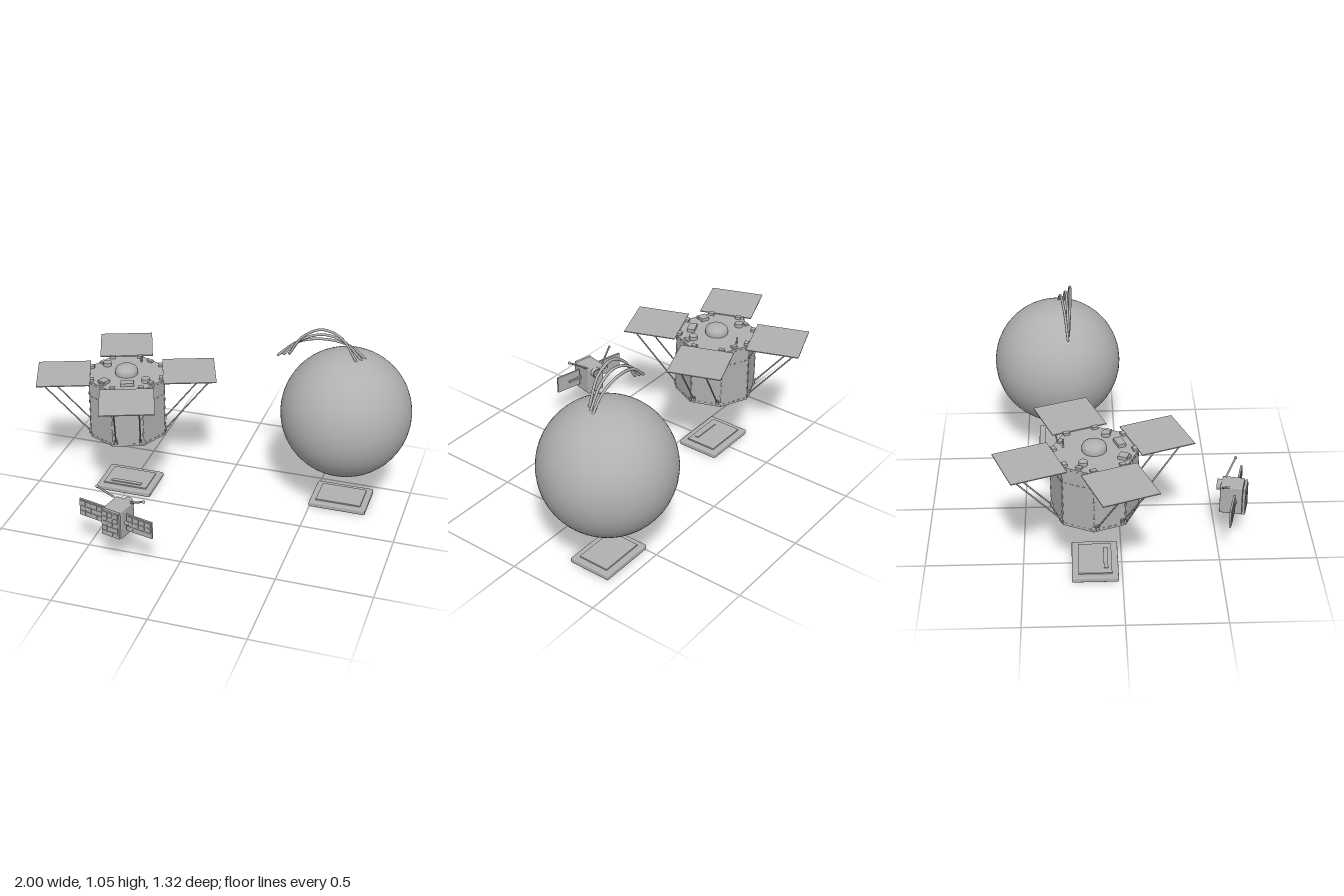
import * as THREE from 'three';
import { RoundedBoxGeometry } from 'three/addons/geometries/RoundedBoxGeometry.js';

const grey = new THREE.MeshStandardMaterial({ color: 0xb0b0b0 });
grey.name = 'plain grey';

function add(parent, name, geometry, x = 0, y = 0, z = 0) {
  const m = new THREE.Mesh(geometry, grey);
  m.name = name;
  m.position.set(x, y, z);
  parent.add(m);
  return m;
}
function group(parent, name, x, y, z, turn = 0) {
  const g = new THREE.Group();
  g.name = name;
  g.position.set(x, y, z);
  g.rotation.y = turn;
  parent.add(g);
  return g;
}
const box = (w, h, d) => new THREE.BoxGeometry(w, h, d);
function faceted(geometry) {
  const g = geometry.toNonIndexed();
  g.computeVertexNormals();
  return g;
}
// Straight round bar between two points
function rod(parent, name, a, b, r) {
  const p = new THREE.Vector3(...a), q = new THREE.Vector3(...b);
  const m = add(parent, name, new THREE.CylinderGeometry(r, r, p.distanceTo(q), 8));
  m.position.copy(p).add(q).multiplyScalar(0.5);
  m.quaternion.setFromUnitVectors(new THREE.Vector3(0, 1, 0), q.sub(p).normalize());
}

// Ball with three curved whiskers
function buildBall(root) {
  const g = group(root, 'ball', 0, 0, 0);
  add(g, 'sphere', new THREE.SphereGeometry(0.345, 64, 40), 0.65, 0.552, -0.317);
  const arcs = [
    [[0.35, 0.88, -0.25], [0.42, 0.99, -0.242], [0.52, 1.045, -0.24], [0.62, 1.01, -0.243], [0.7, 0.885, -0.255]],
    [[0.32, 0.872, -0.252], [0.4, 0.96, -0.255], [0.52, 1.008, -0.26], [0.63, 0.98, -0.268], [0.725, 0.88, -0.28]],
    [[0.29, 0.862, -0.255], [0.39, 0.945, -0.268], [0.52, 0.973, -0.282], [0.65, 0.95, -0.295], [0.75, 0.87, -0.307]],
  ];
  for (const pts of arcs) {
    const curve = new THREE.CatmullRomCurve3(pts.map(p => new THREE.Vector3(...p)));
    add(g, 'whisker', new THREE.TubeGeometry(curve, 32, 0.007, 8));
    for (const p of [pts[0], pts[4]]) add(g, 'whiskerTip', new THREE.SphereGeometry(0.007, 8, 6), ...p);
  }
}

// Eight-sided spacecraft with four fold-out panels
function buildLargeSatellite(root) {
  const g = group(root, 'largeSatellite', -0.51, 0, -0.135, 0.358);
  add(g, 'body', faceted(new THREE.CylinderGeometry(0.216, 0.216, 0.335, 8, 1, false, Math.PI / 8)), 0, 0.52, 0);
  for (let i = 0; i < 4; i++) {
    const arm = group(g, 'panelArm', 0, 0, 0, i * Math.PI / 2);
    add(arm, 'panel', box(0.28, 0.005, 0.285), 0.333, 0.692, 0);
    for (const s of [-1, 1]) {
      rod(arm, 'strut', [0.2, 0.375, s * 0.065], [0.465, 0.69, s * 0.065], 0.004);
      add(arm, 'strutFoot', box(0.012, 0.025, 0.018), 0.203, 0.38, s * 0.065);
      add(arm, 'hinge', box(0.022, 0.014, 0.03), 0.182, 0.694, s * 0.075);
    }
  }
  for (let i = 0; i < 8; i++) {
    const side = group(g, 'bodySide', 0, 0, 0, i * Math.PI / 4);
    // Seam fasteners along each face and each corner
    for (const y of [0.365, 0.6, 0.675])
      for (let k = -2; k <= 2; k++) add(side, 'fastener', box(0.004, 0.005, 0.014), 0.2, y, k * 0.032);
    const corner = group(side, 'cornerSeam', 0, 0, 0, Math.PI / 8);
    for (let k = 0; k < 7; k++) add(corner, 'cornerClip', box(0.005, 0.016, 0.01), 0.215, 0.375 + k * 0.048, 0);
    if (i % 2) add(side, 'deckBracket', box(0.02, 0.012, 0.03), 0.18, 0.693, 0);
  }
  // Deck fittings
  const dome = [[0.06, 0], [0.062, 0.018], [0.055, 0.034], [0.04, 0.044], [0.02, 0.049], [0, 0.05]];
  add(g, 'dome', new THREE.LatheGeometry(dome.map(p => new THREE.Vector2(...p)), 32), 0, 0.687, 0);
  const deck = group(root, 'deckFittings', -0.51, 0.687, -0.135);
  for (const [x, z] of [[-0.13, -0.055], [0.13, 0.06]])
    add(deck, 'drum', new THREE.CylinderGeometry(0.022, 0.022, 0.025, 20), x, 0.008, z);
  const crate = (x, z, w, d, turn) => { add(deck, 'deckBox', box(w, 0.022, d), x, 0.007, z).rotation.y = turn; };
  crate(0.05, 0.125, 0.07, 0.04, 0.36);
  crate(-0.075, 0.14, 0.045, 0.045, -0.4);
  rod(deck, 'stubAntenna', [0.03, 0, -0.15], [0.03, 0.035, -0.15], 0.005);
}

// Grid of raised cells in a rectangle facing +z
function cells(parent, x, y, z, w, h, cols, rows) {
  const cw = w / cols, ch = h / rows;
  for (let i = 0; i < cols; i++)
    for (let j = 0; j < rows; j++)
      add(parent, 'solarCell', box(cw - 0.006, ch - 0.006, 0.004),
        x + (i + 0.5) * cw - w / 2, y + (j + 0.5) * ch - h / 2, z);
}

// Small box-shaped craft with two wings
function buildSmallSatellite(root) {
  const g = group(root, 'smallSatellite', -0.295, 0.258, 0.575, -0.236);
  add(g, 'body', new RoundedBoxGeometry(0.105, 0.16, 0.115, 2, 0.006));
  add(g, 'frontPanel', box(0.105, 0.148, 0.014), -0.004, 0, 0.067);
  cells(g, -0.004, 0, 0.075, 0.095, 0.138, 3, 5);
  for (const s of [-1, 1]) {
    const x = s * 0.143 - 0.008;
    add(g, 'wing', box(0.15, 0.095, 0.01), x, 0.004, 0.02);
    cells(g, x, 0.004, 0.026, 0.142, 0.087, 4, 3);
    add(g, 'wingSpar', box(0.09, 0.012, 0.008), s * 0.09, 0, 0.012);
    rod(g, 'wingHinge', [s * 0.045, 0, 0.02], [s * 0.075, 0, 0.02], 0.012);
  }
  // Rear nozzle with an open mouth
  const nozzle = [[0, -0.01], [0.022, -0.01], [0.022, 0.03], [0.028, 0.03], [0.028, -0.02]];
  const n = add(g, 'nozzle', new THREE.LatheGeometry(nozzle.map(p => new THREE.Vector2(...p)).reverse(), 24), 0.008, 0.053, -0.05);
  n.rotation.x = -Math.PI / 2;
  // Whip antennas
  for (const [a, b] of [
    [[-0.245, 0.335, 0.545], [-0.153, 0.395, 0.603]],
    [[-0.34, 0.335, 0.52], [-0.425, 0.395, 0.537]]]) {
    rod(root, 'antenna', a, b, 0.005);
    add(root, 'antennaTip', new THREE.SphereGeometry(0.008, 12, 8), ...b);
  }
}

// Display base with a raised inset
function buildBase(root, x, z, withBar) {
  const g = group(root, 'base', x, 0, z);
  add(g, 'slab', new RoundedBoxGeometry(0.31, 0.028, 0.235, 2, 0.006), 0, 0.014, 0);
  add(g, 'inset', box(0.245, 0.008, 0.17), 0, 0.031, 0);
  if (withBar) add(g, 'bar', box(0.17, 0.006, 0.022), 0, 0.037, 0.055);
}

export function createModel() {
  const root = new THREE.Group();
  root.name = 'satelliteSet';
  buildBall(root);
  buildLargeSatellite(root);
  buildSmallSatellite(root);
  buildBase(root, -0.51, -0.137, true);
  buildBase(root, 0.65, -0.317, false);
  return root;
}
